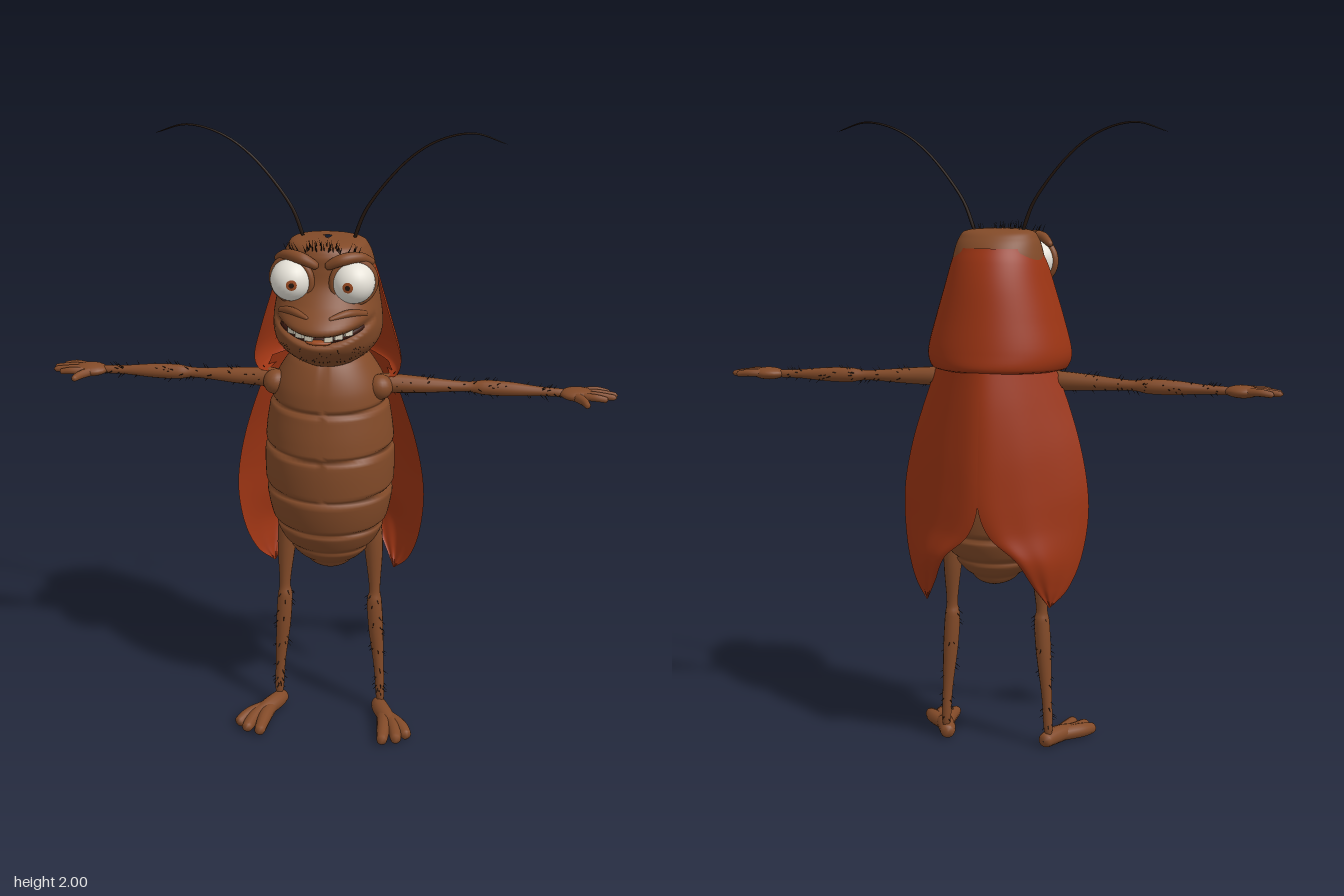
import * as THREE from 'three';
import { mergeGeometries } from 'three/addons/utils/BufferGeometryUtils.js';
import { ParametricGeometry } from 'three/addons/geometries/ParametricGeometry.js';

const V = (x, y, z) => new THREE.Vector3(x, y, z);
const spline = pts => new THREE.CatmullRomCurve3(pts, false, 'catmullrom', 0.5);

function material(name, color, side = THREE.FrontSide) {
  const m = new THREE.MeshStandardMaterial({ color, side });
  m.name = name;
  return m;
}

// Stacked oval rings [y, halfWidth, zFront, zBack], bottom to top; tweak may adjust each point
function ringLoft(rows, zc, slices, stacks, tweak) {
  const a = spline(rows.map(r => V(r[1], r[0], r[2])));
  const b = spline(rows.map(r => V(r[3], 0, 0)));
  return new ParametricGeometry((u, v, out) => {
    const p = a.getPoint(v), zb = b.getPoint(v).x, t = (u - 0.5) * Math.PI * 2;
    const c = Math.cos(t);
    out.set(p.x * Math.sin(t), p.y, zc + (c > 0 ? p.z - zc : zc - zb) * c);
    tweak(out, c, zc);
  }, slices, stacks);
}

// Rounded, tapering tube through [x, y, z, radius] points
function limb(pts, ref = V(0, 0, 1), sides = 12, stacks = 32) {
  const path = spline(pts.map(p => V(p[0], p[1], p[2])));
  const radius = spline(pts.map(p => V(p[3], 0, 0)));
  return new ParametricGeometry((u, v, out) => {
    const t = path.getTangent(v), n = ref.clone().addScaledVector(t, -ref.dot(t)).normalize();
    const b = V(0, 0, 0).crossVectors(t, n), q = u * Math.PI * 2;
    const r = radius.getPoint(v).x * (0.02 + Math.sqrt(Math.max(0, 1 - Math.abs(2 * v - 1) ** 16)));
    out.copy(path.getPoint(v)).addScaledVector(n, Math.cos(q) * r).addScaledVector(b, Math.sin(q) * r);
  }, sides, stacks);
}

// Copy to the other side of x = 0, keeping faces outward
function mirror(geo) {
  const g = geo.clone().scale(-1, 1, 1), ix = g.index.array;
  for (let i = 0; i < ix.length; i += 3) [ix[i], ix[i + 1]] = [ix[i + 1], ix[i]];
  return g;
}

function hair(pos, dir, len) {
  const g = new THREE.ConeGeometry(0.0022, len, 3).translate(0, len / 2, 0);
  g.applyQuaternion(new THREE.Quaternion().setFromUnitVectors(V(0, 1, 0), dir.clone().normalize()));
  return g.translate(pos.x, pos.y, pos.z);
}

export function createModel() {
  const model = new THREE.Group();
  const skin = material('brown skin', 0x824a28);
  const red = material('red wing', 0x9c3413, THREE.DoubleSide);
  const white = material('eye white', 0xe6e2d8);
  const tooth = material('tooth ivory', 0xd8d0bc);
  const iris = material('iris rust', 0x9a4a22);
  const dark = material('dark hair', 0x24160e);
  const mouthMat = material('mouth dark', 0x3a1810);

  let seed = 7;
  const rnd = () => (seed = (seed * 16807) % 2147483647) / 2147483647;
  const add = (name, geo, mat) => {
    const m = new THREE.Mesh(geo, mat);
    m.name = name;
    model.add(m);
  };
  const pair = (name, geo, mat) => {
    add(name + 'Left', geo, mat);
    add(name + 'Right', mirror(geo), mat);
  };

  // Abdomen and chest: grooves between segments and a central seam on the upper plates
  const grooves = [0.575, 0.63, 0.71, 0.835, 0.98, 1.13];
  add('abdomen', ringLoft([
    [0.538, 0.003, -0.02, -0.04], [0.56, 0.06, 0.02, -0.1], [0.62, 0.125, 0.075, -0.15],
    [0.7, 0.172, 0.12, -0.185], [0.8, 0.199, 0.15, -0.2], [0.92, 0.208, 0.162, -0.2],
    [1.03, 0.203, 0.156, -0.2], [1.12, 0.19, 0.142, -0.19], [1.2, 0.174, 0.13, -0.18],
    [1.27, 0.135, 0.1, -0.15], [1.31, 0.1, 0.06, -0.1]], -0.03, 64, 110, (p, c, zc) => {
    let k = 0;
    const y = p.y - 0.25 * p.x * p.x;
    for (const g of grooves) k = Math.max(k, Math.exp(-(((y - g) / 0.009) ** 2)));
    if (c > 0 && p.y > 0.84) k = Math.max(k, 0.8 * Math.exp(-((p.x / 0.008) ** 2)));
    p.x *= 1 - 0.07 * k;
    p.z = zc + (p.z - zc) * (1 - 0.07 * k);
  }), skin);

  // Head with a protruding muzzle and a smiling mouth groove
  const smileY = x => 1.402 + 1.8 * x * x;
  add('head', ringLoft([
    [1.268, 0.01, 0.03, 0.0], [1.278, 0.075, 0.09, -0.07], [1.31, 0.125, 0.145, -0.1],
    [1.35, 0.157, 0.2, -0.13], [1.39, 0.168, 0.225, -0.15], [1.44, 0.166, 0.245, -0.15],
    [1.5, 0.157, 0.185, -0.145], [1.55, 0.15, 0.15, -0.14], [1.6, 0.14, 0.14, -0.13],
    [1.64, 0.126, 0.135, -0.105], [1.665, 0.1, 0.11, -0.07], [1.672, 0.01, 0.03, 0]],
  0, 64, 90, (p, c) => {
    if (c > 0.3) p.z -= 0.055 * Math.exp(-(((p.y - smileY(p.x)) / 0.016) ** 2)) * Math.sqrt(c - 0.3);
  }), skin);

  // Mouth lining, teeth and tongue following the smile
  const smile = (a, depth, dy = 0) => {
    const x = 0.158 * Math.sin(a);
    return [x, smileY(x) + dy, (0.232 - depth) * Math.cos(a)];
  };
  const angles = Array.from({ length: 9 }, (_, i) => (i - 4) * 0.235);
  add('mouthLining', limb(angles.map(a => [...smile(a, 0.033), 0.011]), V(0, 1, 0)), mouthMat);
  const teeth = [-3, -2, -1, 1, 2, 3].map(i => {
    const p = smile(i * 0.19, 0.018, 0.009);
    return new THREE.BoxGeometry(0.026, 0.02, 0.012).rotateY(i * 0.22).translate(...p);
  });
  add('teeth', mergeGeometries(teeth), tooth);
  add('tongue', new THREE.SphereGeometry(1, 16, 10).scale(0.04, 0.009, 0.02).translate(0, 1.397, 0.206), iris);

  // Eyes, lids and brows
  const eye = V(0.094, 1.565, 0.125);
  const eyePart = (g, yaw) => g.rotateY(yaw).translate(eye.x, eye.y, eye.z);
  const cap = (r, angle) => new THREE.SphereGeometry(r, 20, 6, 0, Math.PI * 2, 0, angle).rotateX(Math.PI / 2);
  pair('eyeball', eyePart(new THREE.SphereGeometry(0.065, 28, 20), 0), white);
  pair('iris', eyePart(cap(0.0662, 0.25), -0.15), iris);
  pair('pupil', eyePart(cap(0.0674, 0.12), -0.15), dark);
  pair('eyelid', eyePart(new THREE.TorusGeometry(0.064, 0.012, 10, 36), 0.3), skin);
  pair('brow', limb([[0.01, 1.61, 0.14, 0.012], [0.06, 1.637, 0.145, 0.018], [0.11, 1.64, 0.12, 0.016],
    [0.15, 1.615, 0.08, 0.01]], V(0, 1, 0)), skin);
  pair('cheekFold', limb([[0.03, 1.47, 0.212, 0.006], [0.085, 1.48, 0.172, 0.012],
    [0.135, 1.465, 0.115, 0.009]], V(0, 1, 0)), skin);

  // Antennae
  pair('antenna', limb([[0.075, 1.655, 0, 0.007], [0.12, 1.765, 0, 0.005], [0.22, 1.893, 0, 0.004],
    [0.32, 1.968, 0, 0.0035], [0.43, 1.996, 0, 0.003], [0.53, 1.967, 0, 0.0015]], undefined, 7, 40), dark);

  // Hood shield wrapped round the back of the head
  const hood = spline([V(0.19, 1.237, -0.19), V(0.218, 1.25, -0.214), V(0.23, 1.3, -0.21), V(0.205, 1.4, -0.192),
    V(0.175, 1.5, -0.172), V(0.154, 1.57, -0.15), V(0.135, 1.615, -0.128)]);
  add('hoodShield', new ParametricGeometry((u, v, out) => {
    const p = hood.getPoint(v), s = 2 * u - 1, a = s * Math.PI / 2;
    const front = 0.035 * Math.sin(Math.PI * (v * 0.85 + 0.1)) ** 0.6;
    out.set(-p.x * Math.sin(a), p.y - 0.01 * s * s, front * s * s + p.z * Math.cos(a));
  }, 40, 30), red);

  // Wings: each row spans from the inner to the outer edge, wrapped round the back
  const inner = spline([V(0, 1.265, -0.2), V(0, 1.12, -0.222), V(0, 0.97, -0.235), V(0, 0.83, -0.24),
    V(0.035, 0.735, -0.232), V(0.115, 0.66, -0.215), V(0.16, 0.57, -0.17), V(0.2, 0.497, -0.125)]);
  const outer = spline([V(0.185, 1.265, -0.03), V(0.235, 1.13, -0.025), V(0.275, 1.0, -0.03), V(0.3, 0.87, -0.035),
    V(0.303, 0.76, -0.04), V(0.285, 0.64, -0.06), V(0.25, 0.55, -0.09), V(0.203, 0.497, -0.125)]);
  pair('wing', new ParametricGeometry((u, v, out) => {
    const a = inner.getPoint(v), b = outer.getPoint(v);
    out.lerpVectors(a, b, u);
    out.z = a.z + (b.z - a.z) * u ** 1.8 - 0.003 * Math.sin(u * Math.PI * 5) * v;
  }, 28, 48), red);

  // Arms and hands
  const armPath = [[0.14, 1.2, 0, 0.03], [0.2, 1.2, -0.005, 0.03], [0.3, 1.198, -0.01, 0.025],
    [0.43, 1.196, -0.02, 0.016], [0.49, 1.195, -0.022, 0.023], [0.57, 1.194, -0.022, 0.022],
    [0.67, 1.192, -0.022, 0.014], [0.75, 1.19, -0.022, 0.015]];
  pair('shoulder', new THREE.SphereGeometry(0.04, 20, 14).translate(0.165, 1.195, 0.02), skin);
  pair('arm', limb(armPath, undefined, 14, 60), skin);
  pair('palm', new THREE.SphereGeometry(1, 20, 12).scale(0.055, 0.02, 0.042).translate(0.775, 1.19, -0.02), skin);
  const up = V(0, 1, 0);
  [[-0.055, 0.875], [-0.032, 0.9], [-0.009, 0.897], [0.014, 0.87]].forEach(([z, x], i) => pair('finger' + i,
    limb([[0.78, 1.19, -0.02 + (z + 0.02) * 0.6, 0.012], [0.83, 1.193, z, 0.0115], [x, 1.187, z, 0.009]], up, 10, 16), skin));
  pair('thumb', limb([[0.76, 1.19, -0.01, 0.015], [0.795, 1.188, 0.035, 0.013], [0.81, 1.186, 0.075, 0.009]], up, 10, 16), skin);

  // Legs and feet
  const legPath = [[0.135, 0.74, -0.03, 0.035], [0.145, 0.6, -0.03, 0.029], [0.15, 0.47, -0.022, 0.018],
    [0.15, 0.42, -0.02, 0.024], [0.156, 0.32, -0.02, 0.024], [0.168, 0.16, -0.02, 0.016], [0.174, 0.03, -0.02, 0.016]];
  pair('leg', limb(legPath, undefined, 14, 60), skin);
  pair('foot', limb([[0.162, 0.024, -0.042, 0.022], [0.176, 0.027, 0, 0.027], [0.2, 0.027, 0.05, 0.027],
    [0.235, 0.021, 0.11, 0.021]], up, 14, 24), skin);
  [[0.205, 0.205], [0.252, 0.19], [0.285, 0.155]].forEach(([x, z], i) => pair('toe' + i,
    limb([[0.19, 0.025, 0.035, 0.022], [0.21 + (x - 0.22) * 0.65, 0.024, 0.1, 0.023], [x, 0.018, z, 0.017]], up, 12, 18), skin));

  // Bristles on limbs, crown and jaw
  const bristles = [];
  for (const [path, count] of [[armPath, 90], [legPath.slice(2), 45]]) {
    const c = spline(path.map(p => V(p[0], p[1], p[2]))), r = spline(path.map(p => V(p[3], 0, 0)));
    for (let i = 0; i < count; i++) {
      const t = 0.1 + 0.85 * rnd(), a = rnd() * Math.PI * 2, tan = c.getTangent(t);
      const n = V(0, 0, 1).applyAxisAngle(tan, a);
      bristles.push(hair(c.getPoint(t).addScaledVector(n, r.getPoint(t).x * 0.85),
        n.addScaledVector(tan, 0.7), 0.012 + 0.012 * rnd()));
    }
  }
  for (let i = 0; i < 22; i++) {
    const x = 0.11 * rnd();
    bristles.push(hair(V(x, 1.655 - x * 0.1, 0.1 + 0.03 * rnd()), V(x * 4 + rnd() - 0.5, 1.5, 0.4), 0.025 + 0.02 * rnd()));
  }
  for (let i = 0; i < 45; i++) {
    const a = rnd() * 1.2, y = 1.31 + 0.065 * rnd(), k = (y - 1.31) / 0.065;
    const n = V(Math.sin(a), -0.5, Math.cos(a));
    bristles.push(hair(V((0.123 + 0.038 * k) * n.x, y, (0.143 + 0.07 * k) * n.z), n, 0.012));
  }
  pair('bristles', mergeGeometries(bristles), dark);

  return model;
}
